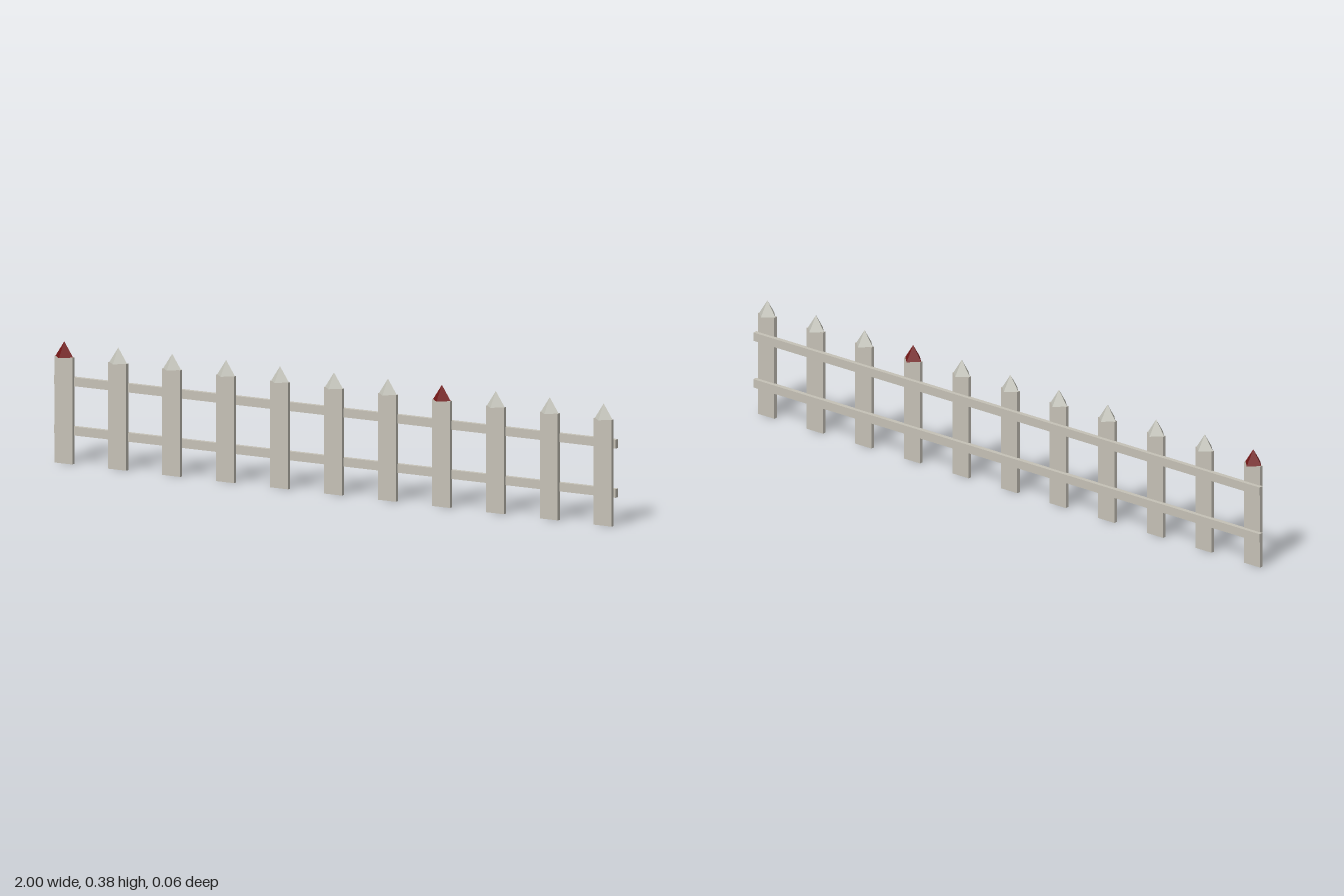
import * as THREE from 'three';

export function createModel() {
  const fence = new THREE.Group();
  fence.name = 'picketFence';

  const material = (name, color) => {
    const m = new THREE.MeshStandardMaterial({ color, flatShading: true });
    m.name = name;
    return m;
  };
  const wood = material('paleWood', 0xc6c2b7);
  const tipGrey = material('paleTip', 0xc8c8be);
  const tipRed = material('darkRedTip', 0x761717);

  const add = (name, geometry, mat, x, y, z) => {
    const mesh = new THREE.Mesh(geometry, mat);
    mesh.name = name;
    mesh.position.set(x, y, z);
    fence.add(mesh);
  };

  // Upright pickets, each capped with a four-sided point
  const count = 11, spacing = 0.192, height = 0.329, tipHeight = 0.047;
  const picket = new THREE.BoxGeometry(0.064, height, 0.012);
  const tip = new THREE.ConeGeometry(0.0315, tipHeight, 4);
  const redTips = [0, 7];
  for (let i = 0; i < count; i++) {
    const x = (i - (count - 1) / 2) * spacing;
    add('picket', picket, wood, x, height / 2, 0);
    add('picketTip', tip, redTips.includes(i) ? tipRed : tipGrey, x, height + tipHeight / 2, 0);
  }

  // Two rails along the back
  const rail = new THREE.BoxGeometry(2, 0.027, 0.015);
  add('lowerRail', rail, wood, 0, 0.1015, -0.0115);
  add('upperRail', rail, wood, 0, 0.2535, -0.0115);

  return fence;
}
